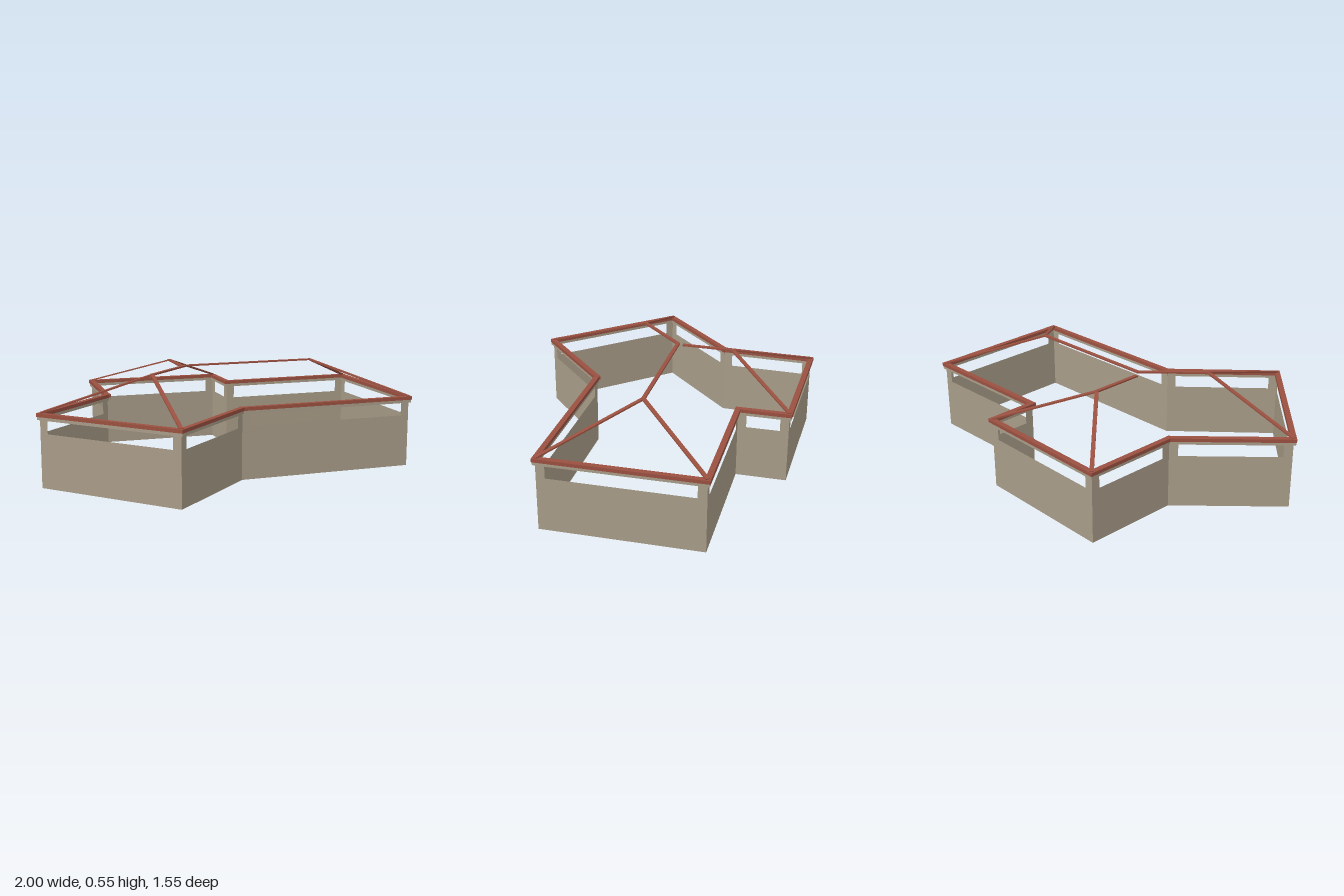
import * as THREE from 'three';

const WALL_TOP = 0.28, OPENING_TOP = 0.35, POST = 0.045;

// Building outline [x, z], in order around the plan
const outline = [
  [-0.58, -0.737], [0.168, -0.762], [0.183, -0.5], [0.933, -0.545], [0.984, 0.265],
  [0.027, 0.323], [-0.398, 0.758], [-0.981, 0.2], [-0.57, -0.24],
];

export function createModel() {
  const group = new THREE.Group();
  const plaster = new THREE.MeshStandardMaterial({ color: 0xa89c88, side: THREE.DoubleSide });
  plaster.name = 'plaster';
  const tile = new THREE.MeshStandardMaterial({ color: 0x9a5040 });
  tile.name = 'terracotta';

  const add = (name, geometry, material) => {
    const mesh = new THREE.Mesh(geometry, material);
    mesh.name = name;
    group.add(mesh);
    return mesh;
  };

  // Flat bar from a to b, lengthened by extra at each end
  const bar = (name, a, b, width, height, material, extra = 0) => {
    const dir = b.clone().sub(a);
    const mesh = add(name, new THREE.BoxGeometry(width, height, dir.length() + 2 * extra), material);
    mesh.position.copy(a).add(b).multiplyScalar(0.5);
    mesh.lookAt(b);
    return mesh;
  };

  outline.forEach(([x0, z0], i) => {
    const [x1, z1] = outline[(i + 1) % outline.length];
    const length = Math.hypot(x1 - x0, z1 - z0);

    // Thin wall: solid below, an end post either side of the long opening
    const shape = new THREE.Shape([
      [0, 0], [length, 0], [length, OPENING_TOP], [length - POST, OPENING_TOP],
      [length - POST, WALL_TOP], [POST, WALL_TOP], [POST, OPENING_TOP], [0, OPENING_TOP],
    ].map(([x, y]) => new THREE.Vector2(x, y)));
    const wall = add('wall', new THREE.ShapeGeometry(shape), plaster);
    wall.position.set(x0, 0, z0);
    wall.rotation.y = -Math.atan2(z1 - z0, x1 - x0);

    // Header beam with the eave trim on top
    const at = (x, y, z) => new THREE.Vector3(x, y, z);
    bar('header', at(x0, 0.357, z0), at(x1, 0.357, z1), 0.022, 0.016, plaster, 0.01);
    bar('eaveTrim', at(x0, 0.374, z0), at(x1, 0.374, z1), 0.028, 0.018, tile, 0.013);
  });

  // Hip and ridge caps
  const corner = (i) => new THREE.Vector3(outline[i][0], 0.383, outline[i][1]);
  const westPeak = new THREE.Vector3(-0.41, 0.548, 0.188);
  const bend = new THREE.Vector3(-0.165, 0.548, -0.077);
  const eastPeak = new THREE.Vector3(0.557, 0.548, -0.12);
  const northPeak = new THREE.Vector3(-0.19, 0.538, -0.375);
  const northEnd = new THREE.Vector3(-0.18, 0.538, -0.105);
  [
    [corner(7), westPeak], [corner(6), westPeak], [corner(3), eastPeak],
    [corner(4), eastPeak], [corner(0), northPeak], [corner(1), northPeak],
  ].forEach(([a, b]) => bar('hipCap', a, b, 0.02, 0.008, tile));
  [[westPeak, bend], [bend, eastPeak], [northPeak, northEnd]]
    .forEach(([a, b]) => bar('ridgeCap', a, b, 0.02, 0.008, tile, 0.005));

  return group;
}
